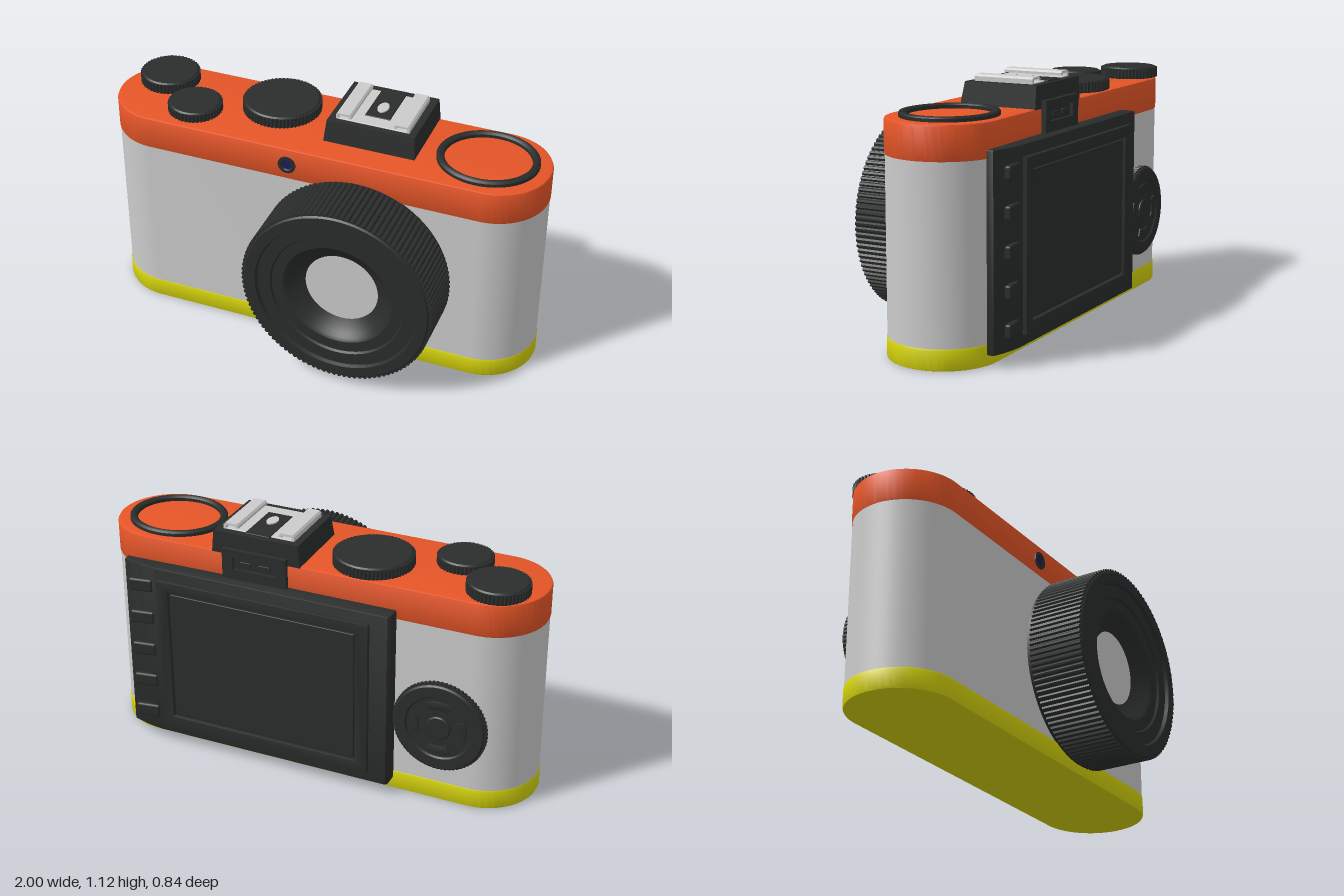
import * as THREE from 'three';
import { toCreasedNormals } from 'three/addons/utils/BufferGeometryUtils.js';
import { RoundedBoxGeometry } from 'three/addons/geometries/RoundedBoxGeometry.js';

const mat = (color) => new THREE.MeshStandardMaterial({ color });
const V = (x, y) => new THREE.Vector2(x, y);

export function createModel() {
  const model = new THREE.Group();
  const grey = mat(0xcccccc), orange = mat(0xe65527), yellow = mat(0xd6d40c);
  const black = mat(0x2a2d2c), blue = mat(0x1a1f5a);

  const add = (name, geometry, material, x = 0, y = 0, z = 0, parent = model) => {
    const mesh = new THREE.Mesh(geometry, material);
    mesh.name = name;
    mesh.position.set(x, y, z);
    parent.add(mesh);
    return mesh;
  };
  const box = (name, w, h, d, r, material, x, y, z) =>
    add(name, new RoundedBoxGeometry(w, h, d, 2, r), material, x, y, z);

  // Extrusion of exact depth and outline with a small bevel inside it
  const extrude = (shape, depth, bevel = 0, curveSegments = 32) => toCreasedNormals(
    new THREE.ExtrudeGeometry(shape, {
      depth: depth - 2 * bevel, curveSegments, bevelEnabled: bevel > 0,
      bevelThickness: bevel, bevelSize: bevel, bevelOffset: -bevel, bevelSegments: 2,
    }).translate(0, 0, bevel), 0.6);
  const lathe = (points, segments = 96) => toCreasedNormals(
    new THREE.LatheGeometry(points.map(([r, y]) => V(r, y)), segments), 0.5);
  const rectPath = (Type, x0, y0, x1, y1) =>
    new Type([V(x0, y0), V(x1, y0), V(x1, y1), V(x0, y1)]);

  // Toothed outline for knurled rims
  const gear = (r, teeth, depth) => {
    const pts = [];
    for (let i = 0; i < teeth; i++) {
      [[0, r - depth], [0.25, r], [0.6, r], [0.85, r - depth]].forEach(([f, rad]) => {
        const a = ((i + f) / teeth) * Math.PI * 2;
        pts.push(V(Math.cos(a) * rad, Math.sin(a) * rad));
      });
    }
    return new THREE.Shape(pts);
  };

  // Body: three stacked layers with half-round ends
  const layer = (name, y0, y1, inset, bevel, material) => {
    const r = 0.24 - inset, c = 0.76;
    const s = new THREE.Shape();
    s.absarc(c, 0, r, -Math.PI / 2, Math.PI / 2);
    s.absarc(-c, 0, r, Math.PI / 2, Math.PI * 1.5);
    s.closePath();
    add(name, extrude(s, y1 - y0, bevel).rotateX(-Math.PI / 2), material, 0, y0, -0.09);
  };
  layer('bottomCover', 0, 0.095, 0, 0.01, yellow);
  layer('body', 0.09, 0.845, 0.003, 0, grey);
  layer('topCover', 0.84, 0.99, 0, 0.01, orange);

  // Lens: barrel with stepped face and funnel, knurled focus ring, glass
  const lens = new THREE.Group();
  lens.name = 'lens';
  lens.position.set(0.225, 0.47, 0);
  model.add(lens);
  add('lensBarrel', lathe([
    [0.425, 0.13], [0.425, 0.412], [0.417, 0.42], [0.37, 0.42], [0.364, 0.404],
    [0.306, 0.404], [0.3, 0.394], [0.25, 0.394], [0.235, 0.385], [0.222, 0.365], [0.16, 0.328],
  ]).rotateX(Math.PI / 2), black, 0, 0, 0, lens);
  const ring = gear(0.435, 110, 0.008);
  ring.holes.push(new THREE.Path().absarc(0, 0, 0.405, 0, Math.PI * 2, true));
  add('focusRing', extrude(ring, 0.25), black, 0, 0, 0.163, lens);
  add('glass', new THREE.CircleGeometry(0.168, 64), grey, 0, 0, 0.332, lens);

  // Front indicator lamp
  add('lampRim', lathe([[0.04, 0], [0.04, 0.008], [0.026, 0.008], [0.022, 0.003]], 40)
    .rotateX(Math.PI / 2), black, -0.1, 0.915, 0.148);
  add('lamp', new THREE.CircleGeometry(0.024, 32), blue, -0.1, 0.915, 0.152);

  // Top dials
  [['cornerDial', -0.81, -0.19, 0.135, 0.055], ['frontDial', -0.6, -0.005, 0.122, 0.048],
    ['largeDial', -0.245, -0.155, 0.176, 0.055]].forEach(([name, x, z, r, h]) => {
    const teeth = Math.round(r * 360);
    add(name, extrude(gear(r, teeth, 0.005), h - 0.012).rotateX(-Math.PI / 2), black, x, 0.994, z);
    add(name + 'Cap', lathe([[r - 0.012, 0], [r - 0.006, h - 0.008], [r - 0.014, h], [0, h]], 64),
      black, x, 0.988, z);
  });

  // Oval trim ring on the top cover
  add('ovalTrim', lathe([[1, 0], [1, 0.016], [0.98, 0.022], [0.87, 0.022], [0.85, 0.016], [0.85, 0]])
    .scale(0.222, 1, 0.2), black, 0.722, 0.988, -0.095);

  // Accessory shoe: tapered housing, metal plate, two curled rails, contact block
  const housing = new THREE.BoxGeometry(0.415, 0.1, 0.355);
  const p = housing.attributes.position;
  for (let i = 0; i < p.count; i++) {
    if (p.getY(i) < 0) continue;
    p.setX(i, p.getX(i) * 0.955);
    if (p.getZ(i) > 0) p.setZ(i, p.getZ(i) - 0.018);
  }
  housing.computeVertexNormals();
  add('shoeHousing', housing, black, 0.225, 1.037, -0.153);
  box('shoePlate', 0.33, 0.012, 0.275, 0.003, grey, 0.225, 1.085, -0.158);
  box('contactBlock', 0.115, 0.014, 0.23, 0.003, black, 0.225, 1.087, -0.197);
  add('contact', lathe([[1, 0], [1, 0.006], [0, 0.008]], 32).scale(0.024, 1, 0.04),
    grey, 0.225, 1.093, -0.16);
  const railShape = new THREE.Shape([
    V(0, 0), V(0, 0.022), V(0.008, 0.03), V(0.062, 0.03), V(0.07, 0.022), V(0.07, 0.012),
    V(0.058, 0.012), V(0.058, 0.02), V(0.012, 0.02), V(0.012, 0),
  ]);
  [-1, 1].forEach((side) => {
    const g = extrude(railShape, 0.275);
    if (side > 0) g.rotateY(Math.PI).translate(0, 0, 0.275);
    add(side < 0 ? 'railRight' : 'railLeft', g, grey, 0.225 + side * 0.166, 1.085, -0.296);
  });

  // Accessory port behind the shoe
  const port = rectPath(THREE.Shape, -0.15, 0, 0.15, 0.16);
  port.holes.push(rectPath(THREE.Path, -0.1, 0.07, 0.1, 0.125));
  add('portFrame', extrude(port, 0.035), black, 0.225, 0.86, -0.352);
  box('portFloor', 0.22, 0.08, 0.012, 0.002, black, 0.225, 0.957, -0.331);
  [-0.045, 0.045].forEach((x) => box('portPin', 0.05, 0.02, 0.01, 0.002, black, 0.225 + x, 0.957, -0.339));

  // Back panel, thinning and curving toward the left end
  const slab = new THREE.Shape();
  slab.moveTo(-0.42, 0.31);
  slab.lineTo(0.85, 0.335);
  slab.lineTo(0.85, 0.365);
  slab.quadraticCurveTo(0.76, 0.398, 0.68, 0.4);
  slab.lineTo(-0.41, 0.4);
  slab.lineTo(-0.42, 0.39);
  add('backPanel', extrude(slab, 0.83, 0.006, 12).rotateX(-Math.PI / 2), black, 0, 0.055, 0);

  // Screen frame with recessed display
  const frame = rectPath(THREE.Shape, -0.33, 0.105, 0.67, 0.835);
  frame.holes.push(rectPath(THREE.Path, -0.275, 0.155, 0.615, 0.785));
  add('screenFrame', extrude(frame, 0.024, 0.004), black, 0, 0, -0.42);
  box('display', 0.87, 0.61, 0.02, 0.003, black, 0.17, 0.47, -0.401);

  // Column of five buttons
  for (let i = 0; i < 5; i++) {
    const button = box('backButton', 0.11, 0.06, 0.03, 0.01, black, 0.755, 0.15 + i * 0.16, -0.398);
    button.rotation.y = 0.15;
  }

  // Control pad: rim, dished ring, centre button and four arc keys
  const pad = new THREE.Group();
  pad.name = 'controlPad';
  pad.position.set(-0.63, 0.38, -0.325);
  pad.rotation.y = Math.PI;
  model.add(pad);
  add('padRing', extrude(gear(0.212, 70, 0.004), 0.022), black, 0, 0, 0, pad);
  add('padFace', lathe([
    [0.205, 0], [0.205, 0.03], [0.198, 0.036], [0.15, 0.036], [0.144, 0.028], [0, 0.028],
  ], 72).rotateX(Math.PI / 2), black, 0, 0, 0, pad);
  add('centreButton', lathe([[0.055, 0.02], [0.055, 0.033], [0.05, 0.037], [0, 0.037]], 40)
    .rotateX(Math.PI / 2), black, 0, 0, 0, pad);
  for (let i = 0; i < 4; i++) {
    const key = new THREE.Shape();
    key.absarc(0, 0, 0.128, -0.45, 0.45, false);
    key.absarc(0, 0, 0.09, 0.45, -0.45, true);
    key.closePath();
    add('arcKey', extrude(key, 0.012, 0.002, 10), black, 0, 0, 0.023, pad)
      .rotation.z = (i * Math.PI) / 2;
  }

  return model;
}
